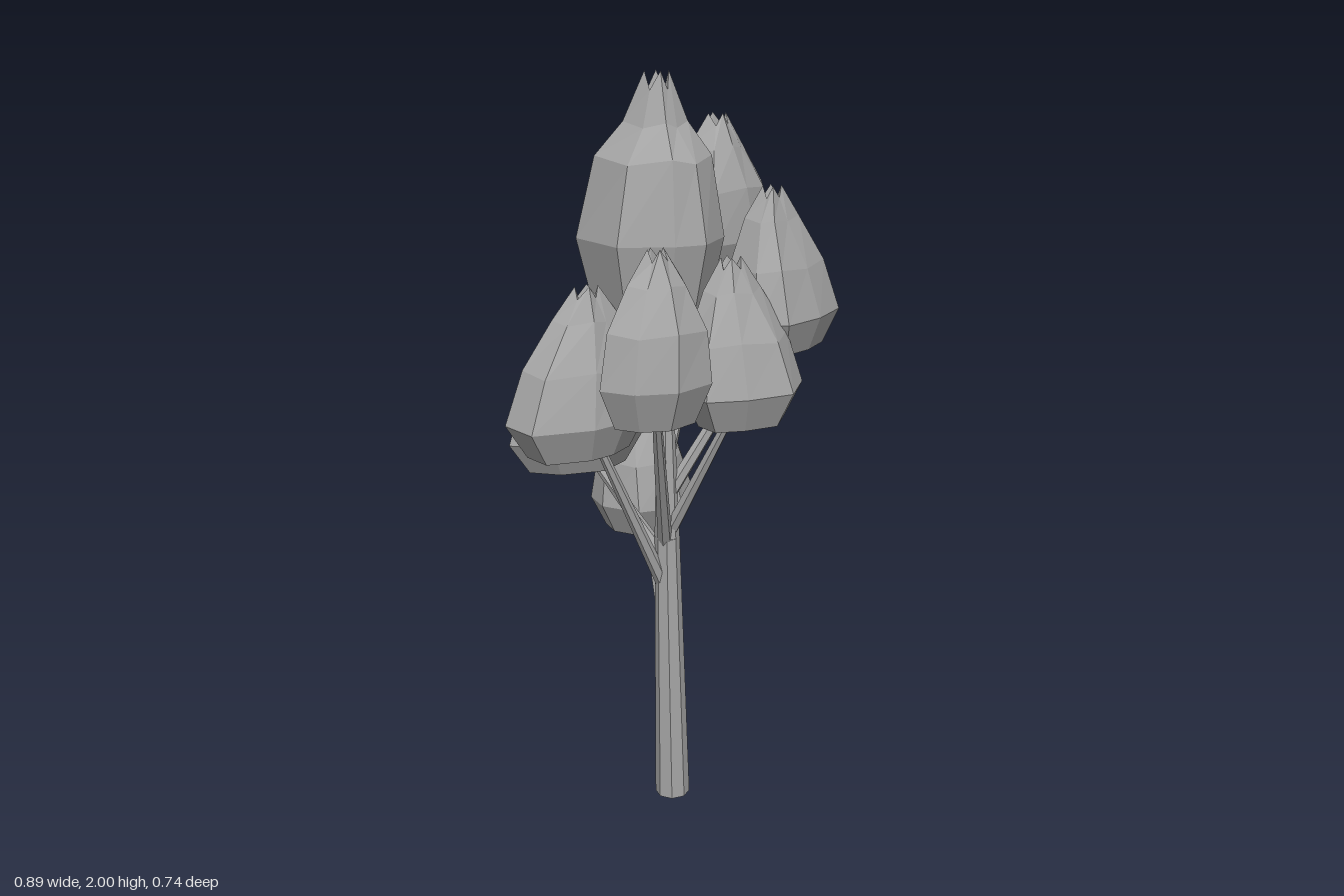
import * as THREE from 'three';

const grey = new THREE.MeshStandardMaterial({ color: 0xa6a6a6 });
grey.name = 'plain grey';

function facetedMesh(name, geometry) {
  const flat = geometry.index ? geometry.toNonIndexed() : geometry;
  flat.computeVertexNormals();
  const mesh = new THREE.Mesh(flat, grey);
  mesh.name = name;
  return mesh;
}

// Tapered straight piece of wood between two points
function limb(name, from, to, r0, r1, sides) {
  const a = new THREE.Vector3(...from), b = new THREE.Vector3(...to);
  const dir = b.clone().sub(a);
  const geometry = new THREE.CylinderGeometry(r1, r0, dir.length(), sides);
  const mesh = facetedMesh(name, geometry);
  mesh.position.copy(a).add(b).multiplyScalar(0.5);
  mesh.quaternion.setFromUnitVectors(new THREE.Vector3(0, 1, 0), dir.normalize());
  return mesh;
}

// Bud-shaped foliage: the widest outline (x, z) is scaled up a profile that
// leans towards the tip and folds into a small pit between pointed ridges.
function crown({ name, base, height, tip, wide = 0.21, full = 0.8, outline }) {
  const n = outline.length;
  const cx = outline.reduce((s, p) => s + p[0], 0) / n;
  const cz = outline.reduce((s, p) => s + p[1], 0) / n;
  const rim = outline.map(([x, z]) => [x - cx, z - cz])
    .sort((p, q) => Math.atan2(p[1], p[0]) - Math.atan2(q[1], q[0]));
  // [height, scale] on even ridges, then on odd ridges
  const profile = [
    [0, 0, 0, 0],
    [0, 0.72, 0, 0.72],
    [wide, 1, wide, 1],
    [wide + 0.32, full + 0.02, wide + 0.3, full],
    [0.81, full - 0.33, 0.79, full - 0.38],
    [1, 0.16, 0.93, 0.2],
    [0.86, 0.06, 0.82, 0.05],
    [0.8, 0, 0.8, 0],
  ];
  const rings = profile.map((row) => rim.map(([x, z], j) => {
    const [t, s] = j % 2 ? row.slice(2) : row.slice(0, 2);
    const lean = Math.max(0, Math.min(1, (t - wide) / (0.8 - wide)));
    return [cx + (tip[0] - cx) * lean + x * s, base + height * t,
      cz + (tip[1] - cz) * lean + z * s];
  }));
  const positions = [];
  for (let i = 0; i < rings.length - 1; i++) {
    for (let j = 0; j < n; j++) {
      const k = (j + 1) % n;
      const [a, b, c, d] = [rings[i][j], rings[i][k], rings[i + 1][j], rings[i + 1][k]];
      if (i > 0) positions.push(...a, ...c, ...b);
      if (i < rings.length - 2) positions.push(...b, ...c, ...d);
    }
  }
  const geometry = new THREE.BufferGeometry();
  geometry.setAttribute('position', new THREE.Float32BufferAttribute(positions, 3));
  return facetedMesh(name, geometry);
}

export function createModel() {
  const tree = new THREE.Group();
  tree.name = 'tree';

  // Trunk, slightly bent and tapering
  const trunk = new THREE.Group();
  trunk.name = 'trunk';
  const stem = [
    [[0.03, 0, 0.02], 0.048], [[0.012, 0.78, 0.015], 0.034],
    [[0.015, 1.1, 0.005], 0.024], [[0, 1.46, 0], 0.02],
  ];
  for (let i = 0; i < stem.length - 1; i++) {
    trunk.add(limb('trunkSection', stem[i][0], stem[i + 1][0], stem[i][1], stem[i + 1][1], 8));
  }
  tree.add(trunk);

  // Branches reaching into each crown
  const branches = [
    ['lowBackBranch', [0.03, 0.46, 0], [0.13, 0.76, -0.2]],
    ['leftBranch', [0, 0.65, 0.01], [-0.22, 1.12, -0.02]],
    ['backLeftBranch', [0.01, 0.72, 0], [-0.1, 1.0, -0.18]],
    ['frontLeftBranch', [0, 0.77, 0.02], [-0.2, 1.24, 0.2]],
    ['frontBranch', [0.015, 0.8, 0.025], [0.06, 1.18, 0.22]],
    ['frontRightBranch', [0.02, 0.9, 0.015], [0.26, 1.34, 0.15]],
    ['rightBranch', [0.02, 0.98, 0], [0.25, 1.5, -0.06]],
  ];
  branches.forEach(([name, from, to]) => tree.add(limb(name, from, to, 0.02, 0.011, 6)));

  // Foliage, from the top down
  tree.add(crown({ name: 'topCrown', base: 1.36, height: 0.64, tip: [-0.01, 0], wide: 0.36, full: 0.76,
    outline: [[-0.17, -0.13], [-0.04, -0.16], [0.09, -0.15], [0.13, -0.04],
      [0.12, 0.11], [0, 0.168], [-0.08, 0.14], [-0.19, 0.05]] }));
  tree.add(crown({ name: 'rightCrown', base: 1.45, height: 0.43, tip: [0.25, -0.05], wide: 0.25, full: 0.82,
    outline: [[0.105, -0.09], [0.175, -0.18], [0.31, -0.196], [0.43, -0.13],
      [0.445, -0.03], [0.39, 0.035], [0.276, 0.07], [0.13, 0.07]] }));
  tree.add(crown({ name: 'frontRightCrown', base: 1.29, height: 0.42, tip: [0.26, 0.14],
    outline: [[0.39, 0.04], [0.44, 0.12], [0.437, 0.228], [0.31, 0.275],
      [0.18, 0.285], [0.12, 0.23], [0.14, 0.1], [0.25, 0.04]] }));
  tree.add(crown({ name: 'frontLeftCrown', base: 1.19, height: 0.42, tip: [-0.2, 0.2], wide: 0.24, full: 0.88,
    outline: [[-0.37, 0.19], [-0.335, 0.275], [-0.245, 0.33], [-0.123, 0.317],
      [-0.06, 0.2], [-0.09, 0.12], [-0.22, 0.09], [-0.31, 0.127]] }));
  tree.add(crown({ name: 'frontCrown', base: 1.14, height: 0.42, tip: [0.05, 0.2],
    outline: [[0.23, 0.29], [0.115, 0.365], [-0.01, 0.33], [-0.1, 0.275],
      [-0.09, 0.18], [0, 0.1], [0.12, 0.1], [0.21, 0.18]] }));
  tree.add(crown({ name: 'leftCrown', base: 1.07, height: 0.42, tip: [-0.22, -0.03],
    outline: [[-0.447, 0.025], [-0.44, -0.09], [-0.315, -0.14], [-0.167, -0.13],
      [-0.08, -0.06], [-0.09, 0.05], [-0.2, 0.09], [-0.3, 0.09]] }));
  tree.add(crown({ name: 'backLeftCrown', base: 0.96, height: 0.41, tip: [-0.11, -0.2],
    outline: [[-0.317, -0.24], [-0.23, -0.333], [-0.08, -0.32], [0.04, -0.3],
      [0.085, -0.215], [0.04, -0.11], [-0.1, -0.07], [-0.25, -0.14]] }));
  tree.add(crown({ name: 'lowBackCrown', base: 0.71, height: 0.41, tip: [0.14, -0.25],
    outline: [[0.01, -0.25], [0.04, -0.335], [0.14, -0.37], [0.26, -0.345],
      [0.363, -0.27], [0.29, -0.17], [0.17, -0.09], [0.05, -0.14]] }));

  return tree;
}
